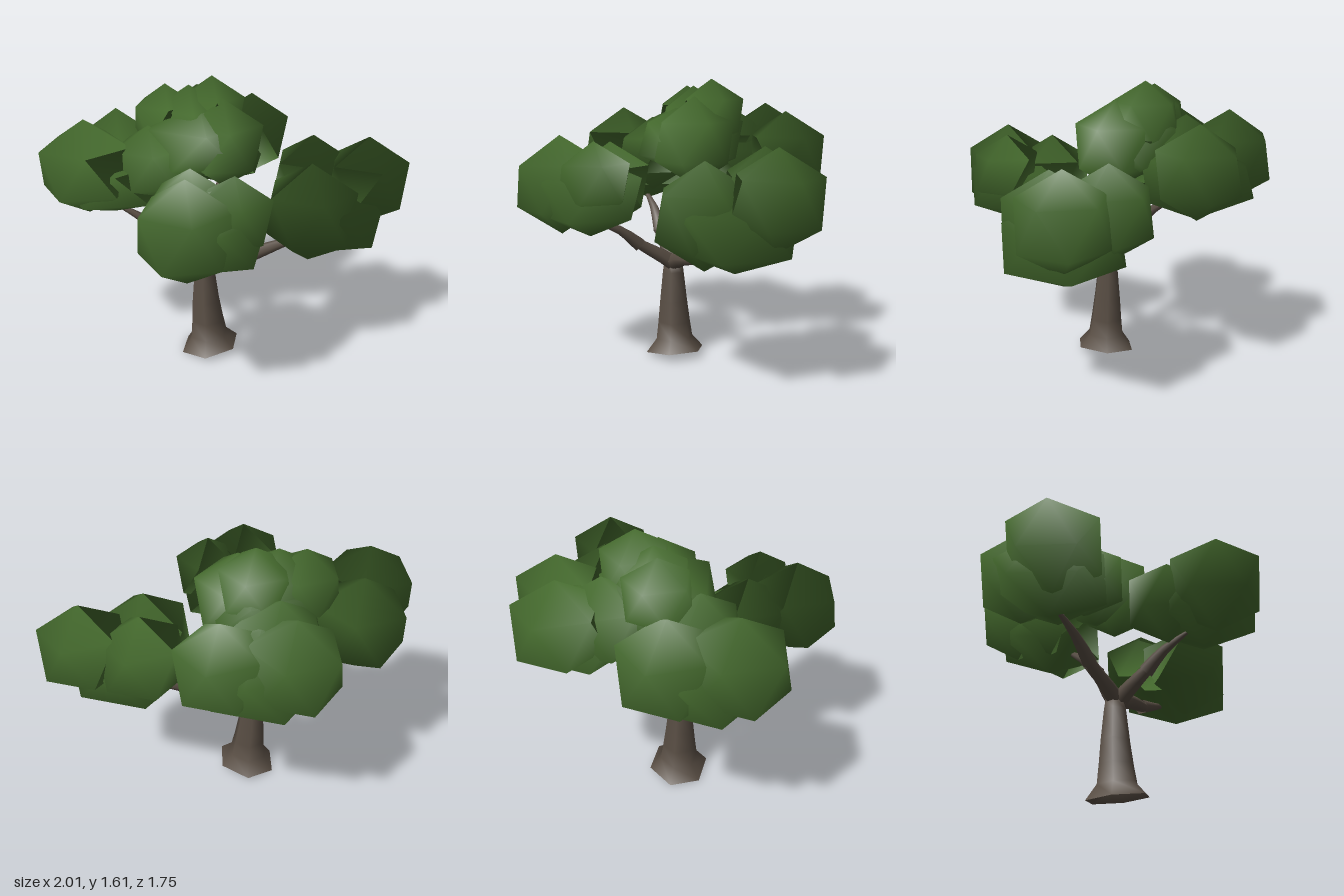
import * as THREE from 'three';

const bark = new THREE.MeshStandardMaterial({ color: 0x594e44, side: THREE.DoubleSide });
bark.name = 'bark brown';
const leaf = new THREE.MeshStandardMaterial({ color: 0x44692d });
leaf.name = 'leaf green';

const CANOPY = new THREE.Vector3(-0.07, 1.12, -0.02);

// Foliage clumps per cluster: x, y, z, radius and, where flattened, height radius
const CLUSTERS = {
  rightSideFoliage: [
    [-0.64, 1.07, -0.02, 0.34, 0.21],
    [-0.75, 1.165, 0.11, 0.283, 0.265], [-0.66, 1.145, -0.205, 0.27], [-0.42, 1.165, 0.02, 0.235, 0.22],
  ],
  backFoliage: [
    [-0.12, 1.11, -0.54, 0.34, 0.23],
    [-0.27, 1.205, -0.655, 0.26], [0.075, 1.18, -0.615, 0.25], [-0.22, 1.18, -0.43, 0.25],
  ],
  topFoliage: [
    [-0.17, 1.27, -0.13, 0.34, 0.22],
    [-0.365, 1.37, -0.18, 0.2], [-0.23, 1.35, -0.17, 0.22], [-0.11, 1.405, -0.235, 0.205], [-0.03, 1.265, -0.1, 0.25],
  ],
  frontFoliage: [
    [0, 0.99, 0.51, 0.315, 0.22],
    [-0.1, 1.045, 0.645, 0.27], [0.115, 1.085, 0.51, 0.21], [-0.13, 1.03, 0.36, 0.24],
  ],
  leftSideFoliage: [
    [0.56, 0.865, -0.1, 0.35, 0.22],
    [0.47, 0.93, 0.03, 0.283], [0.775, 1.045, -0.22, 0.255], [0.465, 1.025, -0.3, 0.25],
  ],
};

// Twenty-faced ball standing on a corner, shaded softly outward from the canopy centre
function clump([x, y, z, r, h = r]) {
  const g = new THREE.IcosahedronGeometry(1, 0);
  g.rotateZ(-0.5536).scale(r, h, r);
  const p = g.attributes.position, n = g.attributes.normal;
  const local = new THREE.Vector3(), out = new THREE.Vector3();
  const centre = new THREE.Vector3(x, y, z);
  for (let i = 0; i < p.count; i++) {
    local.fromBufferAttribute(p, i);
    out.copy(local).add(centre).sub(CANOPY).normalize();
    out.addScaledVector(local.normalize(), 0.4).normalize();
    n.setXYZ(i, out.x, out.y, out.z);
  }
  const mesh = new THREE.Mesh(g, leaf);
  mesh.name = 'leafClump';
  mesh.position.copy(centre);
  return mesh;
}

// Six-sided tube whose radius runs from r0 to r1
function limb(name, points, r0, r1) {
  const curve = new THREE.CatmullRomCurve3(points.map(p => new THREE.Vector3(...p)));
  const steps = 4, sides = 6;
  const g = new THREE.TubeGeometry(curve, steps, 1, sides, false);
  const p = g.attributes.position, v = new THREE.Vector3();
  for (let i = 0; i < p.count; i++) {
    const t = Math.floor(i / (sides + 1)) / steps;
    const c = curve.getPointAt(t);
    v.fromBufferAttribute(p, i).sub(c).multiplyScalar(r0 + (r1 - r0) * t).add(c);
    p.setXYZ(i, v.x, v.y, v.z);
  }
  const mesh = new THREE.Mesh(g, bark);
  mesh.name = name;
  return mesh;
}

// Each branch is a lower limb running into a slightly wider, tapering upper limb
const BRANCHES = {
  rightBranch: [[-0.1, 0.54, 0], [-0.23, 0.635, 0.0], [-0.34, 0.7, 0.0], [-0.46, 0.82, 0.0], [-0.62, 0.91, 0.01]],
  leftBranch: [[-0.13, 0.55, 0], [0.02, 0.605, -0.02], [0.16, 0.625, -0.06], [0.3, 0.675, -0.09], [0.47, 0.74, -0.12]],
  frontBranch: [[-0.11, 0.54, -0.02], [-0.12, 0.62, 0.1], [-0.12, 0.675, 0.2], [-0.11, 0.765, 0.31], [-0.1, 0.83, 0.46]],
  backBranch: [[-0.12, 0.53, 0.01], [-0.11, 0.65, -0.08], [-0.09, 0.78, -0.17], [-0.08, 0.91, -0.3], [-0.09, 1.02, -0.46]],
};

// Hollow six-sided stem with a flared foot
function trunk() {
  const profile = [[0.176, 0.025], [0.112, 0.1], [0.098, 0.2], [0.083, 0.33], [0.064, 0.5], [0.055, 0.56], [0, 0.59]];
  const g = new THREE.LatheGeometry(profile.map(([r, y]) => new THREE.Vector2(r, y)), 6);
  const p = g.attributes.position;
  // Lean the stem a little and tilt the foot
  for (let i = 0; i < p.count; i++) {
    const x = p.getX(i), y = p.getY(i);
    p.setY(i, y + x * 0.16 * Math.max(0, 1 - (y - 0.025) / 0.2));
    p.setX(i, x - 0.095 - 0.03 * Math.min(1, y / 0.4));
    p.setZ(i, p.getZ(i) - 0.008);
  }
  const mesh = new THREE.Mesh(g, bark);
  mesh.name = 'trunk';
  return mesh;
}

export function createModel() {
  const tree = new THREE.Group();
  tree.name = 'tree';
  tree.add(trunk());
  for (const [name, pts] of Object.entries(BRANCHES)) {
    const branch = new THREE.Group();
    branch.name = name;
    branch.add(limb('lowerLimb', pts.slice(0, 4), 0.052, 0.022), limb('upperLimb', pts.slice(2), 0.043, 0.01));
    tree.add(branch);
  }
  for (const [name, clumps] of Object.entries(CLUSTERS)) {
    const cluster = new THREE.Group();
    cluster.name = name;
    cluster.add(...clumps.map(clump));
    tree.add(cluster);
  }
  return tree;
}
